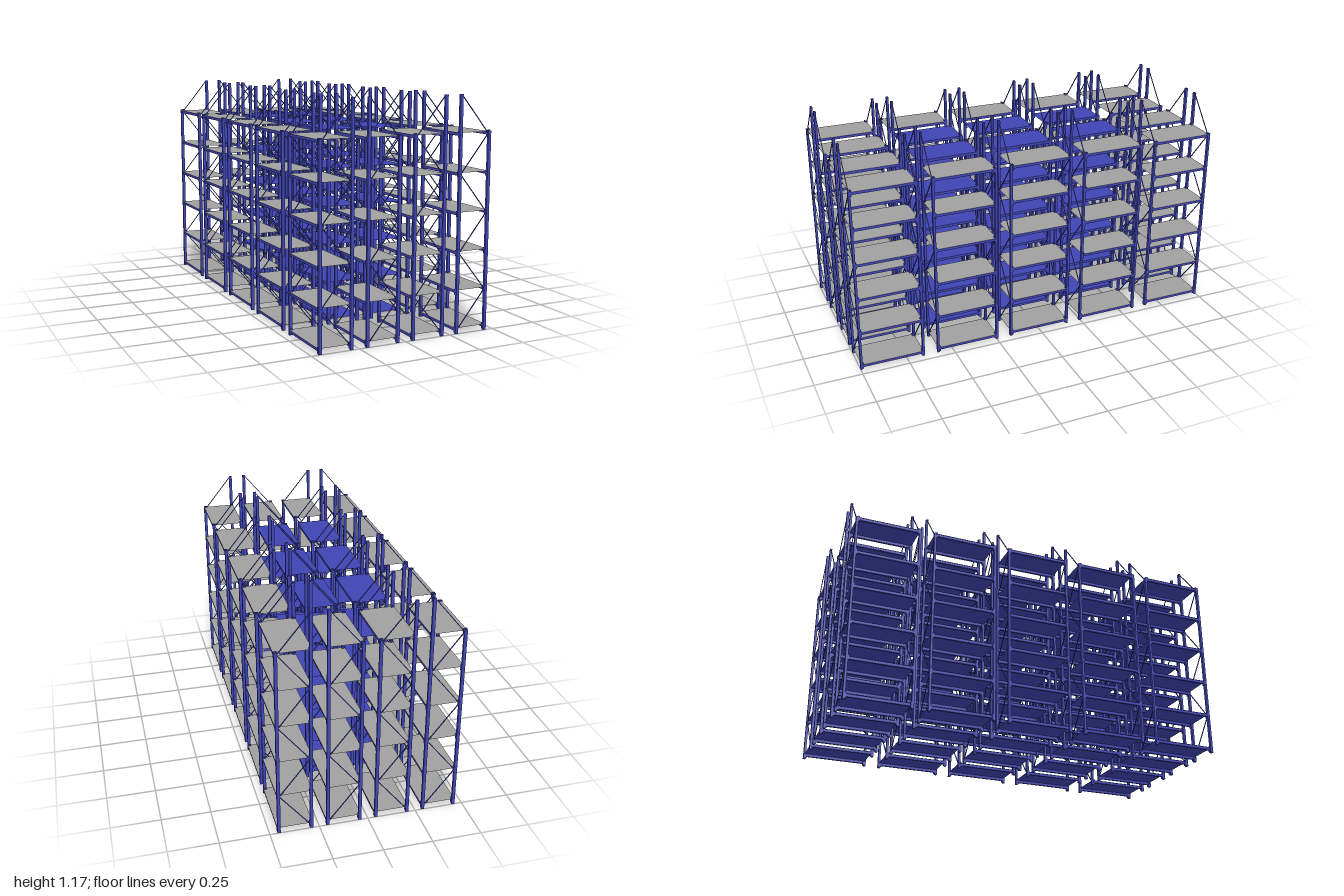
import * as THREE from 'three';

const WIDTH = 0.18, DEPTH = 0.344;           // outer size of one rack
const POST_X = 0.016, POST_Z = 0.012;        // post section
const SHORT = 0.995, TALL = 1.175;           // post heights
const LEVELS = [0.02, 0.211, 0.404, 0.597, 0.79, 0.983];
const px = (WIDTH - POST_X) / 2, pz = (DEPTH - POST_Z) / 2;

export function createModel() {
  const model = new THREE.Group();
  model.name = 'storageRacks';

  const blue = new THREE.MeshStandardMaterial({ color: 0x4045b4 });
  blue.name = 'blue steel';
  const grey = new THREE.MeshStandardMaterial({ color: 0xa0a0a0 });
  grey.name = 'grey shelf';

  const unitBox = new THREE.BoxGeometry(1, 1, 1);
  const sheet = new THREE.PlaneGeometry(WIDTH, DEPTH - 0.01).rotateX(-Math.PI / 2);
  const underside = sheet.clone().rotateX(Math.PI);

  function add(parent, name, geometry, material, x, y, z) {
    const mesh = new THREE.Mesh(geometry, material);
    mesh.name = name;
    mesh.position.set(x, y, z);
    parent.add(mesh);
    return mesh;
  }
  function box(parent, name, w, h, d, x, y, z) {
    const mesh = add(parent, name, unitBox, blue, x, y, z);
    mesh.scale.set(w, h, d);
    return mesh;
  }

  // Diagonal brace lying in the plane of a rack end
  function brace(parent, x1, y1, x2, y2, z) {
    const length = Math.hypot(x2 - x1, y2 - y1);
    const mesh = box(parent, 'brace', length, 0.004, 0.004, (x1 + x2) / 2, (y1 + y2) / 2, z);
    mesh.rotation.z = Math.atan2(y2 - y1, x2 - x1);
  }

  // One rack; tall is the x direction of its tall posts
  function makeRack(tall, shelfMaterial) {
    const rack = new THREE.Group();
    rack.name = 'rack';

    for (const sz of [-1, 1]) {
      for (const sx of [-1, 1]) {
        const h = sx === tall ? TALL : SHORT;
        box(rack, 'post', POST_X, h, POST_Z, sx * px, h / 2, sz * pz);
        // Brackets joining the beams to the post
        for (const y of LEVELS) {
          box(rack, 'bracket', 0.018, 0.03, 0.006, sx * px, Math.max(y, 0.016), sz * (pz - 0.008));
        }
      }
      // Zigzag bracing from the foot of a tall post up to its top
      const nodes = [...LEVELS, TALL - 0.004];
      const inner = px - 0.005;
      for (let i = 0; i < nodes.length - 1; i++) {
        const side = i % 2 ? -tall : tall;
        brace(rack, side * inner, nodes[i], -side * inner, nodes[i + 1], sz * pz);
      }
    }

    for (const y of LEVELS) {
      for (const sx of [-1, 1]) {
        box(rack, 'beam', 0.012, 0.014, DEPTH - 2 * POST_Z, sx * px, y, 0);
      }
      add(rack, 'shelfTop', sheet, shelfMaterial, 0, y + 0.008, 0);
      add(rack, 'shelfUnderside', underside, blue, 0, y + 0.0075, 0);
    }
    return rack;
  }

  // Four columns by five rows; the six inner racks have blue shelves
  const columns = [[-0.3725, 1], [-0.1245, -1], [0.1235, 1], [0.3715, -1]];
  columns.forEach(([x, tall], c) => {
    for (let row = -2; row <= 2; row++) {
      const inside = (c === 1 || c === 2) && Math.abs(row) < 2;
      const rack = makeRack(tall, inside ? blue : grey);
      rack.position.set(x, 0, row * 0.414);
      model.add(rack);
    }
  });
  return model;
}
